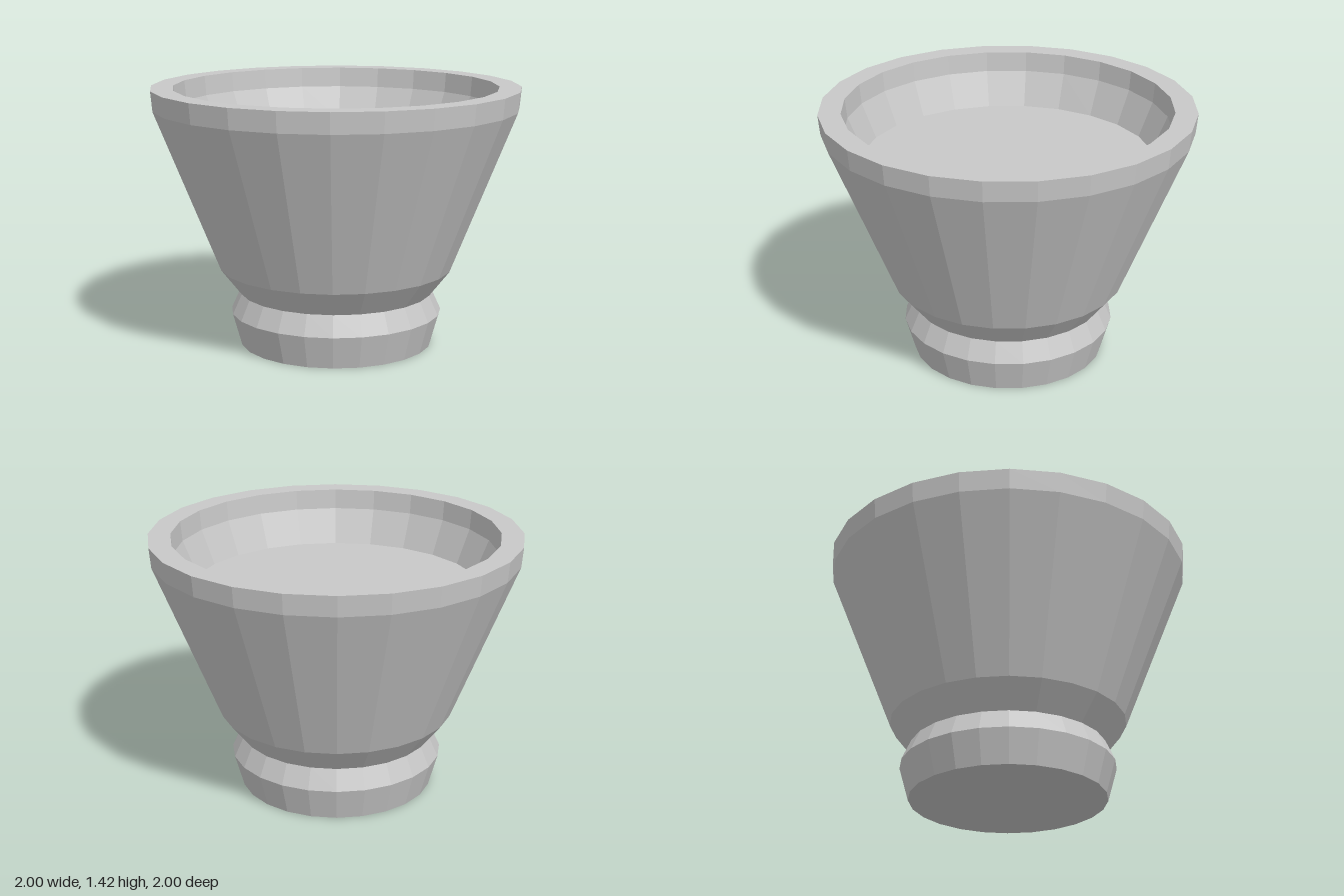
import * as THREE from 'three';

const SIDES = 24;

export function createModel() {
  const stone = new THREE.MeshStandardMaterial({ color: 0xc8c8c8, flatShading: true });
  stone.name = 'grey stone';
  const model = new THREE.Group();
  model.name = 'planter';

  // Spins a [radius, height] profile into a faceted ring; outer walls run upwards, inner walls downwards
  const spin = (name, profile) => {
    const points = profile.map(([r, y]) => new THREE.Vector2(r, y));
    const mesh = new THREE.Mesh(new THREE.LatheGeometry(points, SIDES), stone);
    mesh.name = name;
    model.add(mesh);
  };

  // Flat disc facing up or down
  const disc = (name, radius, y, tilt) => {
    const mesh = new THREE.Mesh(new THREE.CircleGeometry(radius, SIDES), stone);
    mesh.name = name;
    mesh.rotation.x = tilt;
    mesh.position.y = y;
    model.add(mesh);
  };

  // Flared foot up to the pinched neck
  disc('underside', 0.53, 0, Math.PI / 2);
  spin('foot', [[0.53, 0], [0.58, 0.18], [0.53, 0.29]]);

  // Flaring outer wall with a nearly upright band at the top
  spin('bowl', [[0.53, 0.29], [0.64, 0.43], [0.99, 1.31], [1, 1.42]]);

  // Flat lip, then the shallow recess
  spin('rim', [[1, 1.42], [0.88, 1.42]]);
  spin('innerWall', [[0.88, 1.42], [0.87, 1.31], [0.79, 1.12]]);
  disc('recessFloor', 0.79, 1.12, -Math.PI / 2);

  return model;
}
